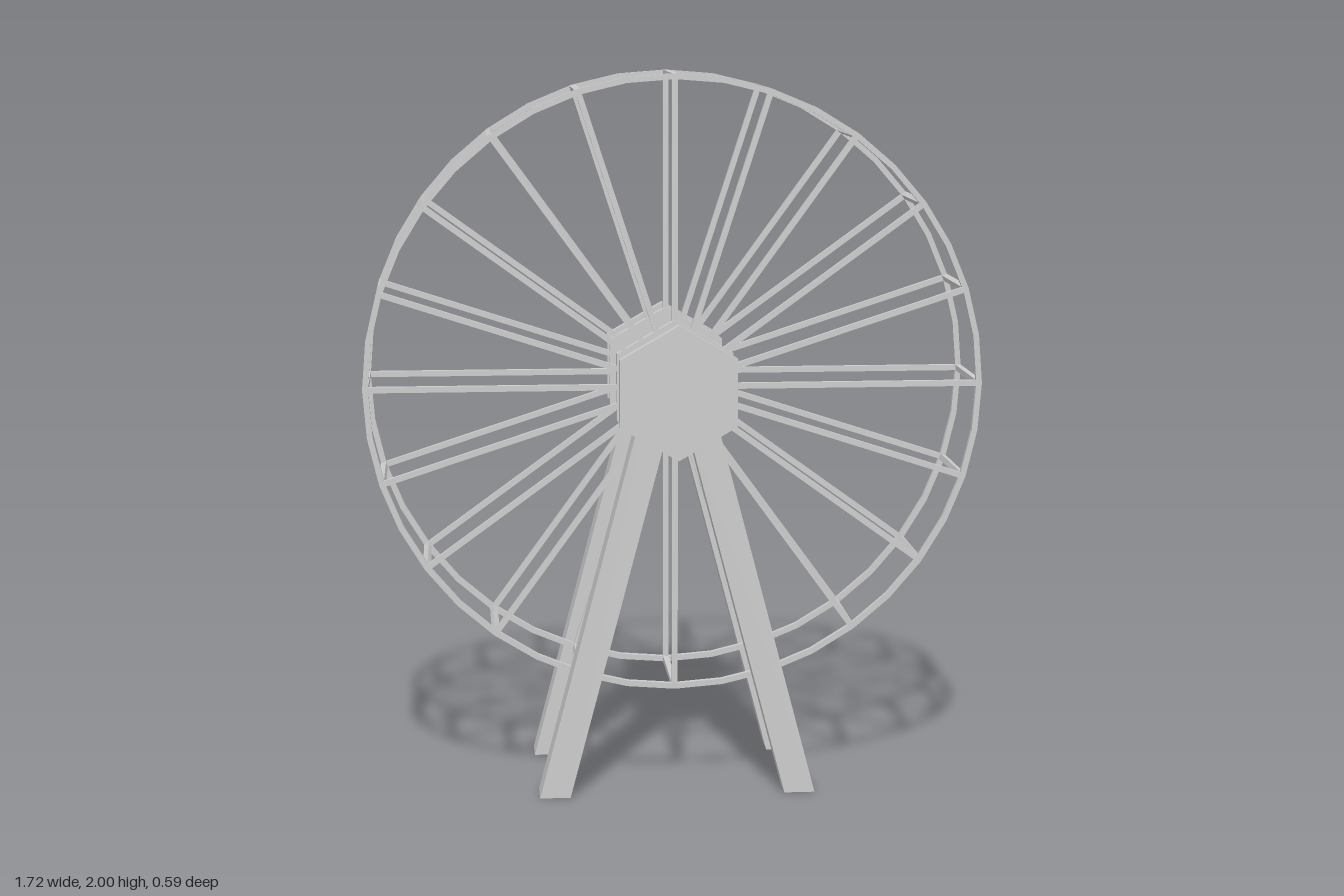
import * as THREE from 'three';

const AXLE_Y = 1.14;   // height of the wheel centre
const RIM_R = 0.86;    // outer radius of the rim
const BAR = 0.016;     // thickness of rim, spokes and rungs
const SPOKES = 20;
const RIM_SIDES = 40;

export function createModel() {
  const model = new THREE.Group();
  model.name = 'ferrisWheel';
  const mat = new THREE.MeshStandardMaterial({ color: 0xcccccc, flatShading: true });

  const add = (parent, name, geo, x = 0, y = 0, z = 0) => {
    const mesh = new THREE.Mesh(geo, mat);
    mesh.name = name;
    mesh.position.set(x, y, z);
    parent.add(mesh);
    return mesh;
  };
  const polygon = (r) => Array.from({ length: RIM_SIDES }, (_, i) => {
    const a = (i / RIM_SIDES) * Math.PI * 2;
    return new THREE.Vector2(Math.cos(a) * r, Math.sin(a) * r);
  });
  const extrude = (shape, depth) =>
    new THREE.ExtrudeGeometry(shape, { depth, bevelEnabled: false }).translate(0, 0, -depth / 2);

  // Shared geometries
  const rimShape = new THREE.Shape(polygon(RIM_R));
  rimShape.holes.push(new THREE.Path(polygon(RIM_R - BAR)));
  const rimGeo = extrude(rimShape, BAR);
  const spokeLength = RIM_R - BAR / 2;
  const spokeGeo = new THREE.BoxGeometry(BAR, spokeLength, BAR).translate(0, spokeLength / 2, 0);
  const rungGeo = new THREE.BoxGeometry(BAR, BAR, 0.31);
  const plateGeo = (depth) => new THREE.CylinderGeometry(0.186, 0.186, depth, 6).rotateX(Math.PI / 2);

  // Pair of splayed legs meeting in a flat top at the axle
  const legGeo = extrude(new THREE.Shape([
    [-0.385, 0], [-0.3, 0], [0, 1.14], [0.3, 0], [0.385, 0], [0.07, 1.2], [-0.07, 1.2],
  ].map(([x, y]) => new THREE.Vector2(x, y))), 0.094);

  // Wheel
  const wheel = new THREE.Group();
  wheel.name = 'wheel';
  wheel.position.y = AXLE_Y;
  model.add(wheel);
  for (let i = 0; i < SPOKES; i++) {
    const a = (i / SPOKES) * Math.PI * 2;
    const r = RIM_R - BAR / 2;
    add(wheel, 'rung', rungGeo, -Math.sin(a) * r, Math.cos(a) * r, 0).rotation.z = a;
    for (const z of [-0.155, 0.155]) add(wheel, 'spoke', spokeGeo, 0, 0, z).rotation.z = a;
  }

  // Rims, hub plates and legs on both sides
  for (const s of [-1, 1]) {
    add(wheel, 'rim', rimGeo, 0, 0, s * 0.155);
    add(wheel, 'innerHubPlate', plateGeo(0.031), 0, 0, s * 0.1535);
    add(model, 'outerHubPlate', plateGeo(0.034), 0, AXLE_Y, s * 0.279);
    add(model, 'legs', legGeo, 0, 0, s * 0.2155);
  }
  return model;
}
